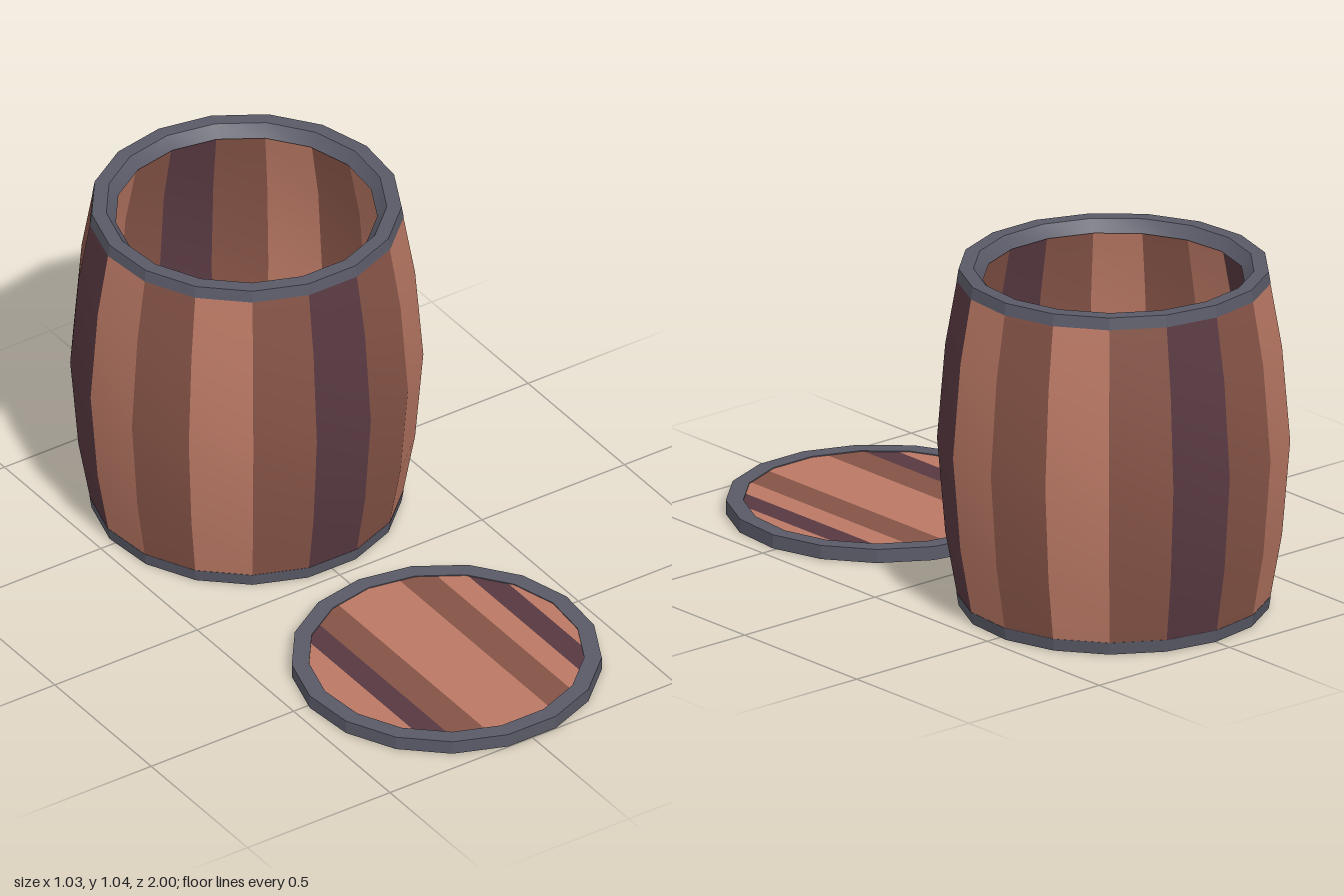
import * as THREE from 'three';
import { toCreasedNormals } from 'three/addons/utils/BufferGeometryUtils.js';

const SIDES = 17;
const STEP = (Math.PI * 2) / SIDES;

function material(name, color) {
  const m = new THREE.MeshStandardMaterial({ color });
  m.name = name;
  return m;
}

// Sweep a closed [radius, height] profile over a number of sides; side 0 faces +z
function sweep(profile, first, count) {
  const points = [...profile, profile[0]].map(([r, y]) => new THREE.Vector2(r, y));
  const geo = new THREE.LatheGeometry(points, count, (first - 0.5) * STEP, count * STEP);
  return toCreasedNormals(geo, 0.3);
}

// Cut a convex outline, keeping the points where sign * (x - limit) >= 0
function clip(points, limit, sign) {
  const out = [];
  points.forEach((a, i) => {
    const b = points[(i + 1) % points.length];
    const da = sign * (a.x - limit);
    const db = sign * (b.x - limit);
    if (da >= 0) out.push(a);
    if (da * db < 0) out.push(a.clone().lerp(b, da / (da - db)));
  });
  return out;
}

// Round panel of parallel planks, cut at the given x positions
function plankDisc(name, radius, y, depth, cuts, colours) {
  const group = new THREE.Group();
  group.name = name;
  const outline = Array.from({ length: SIDES }, (_, i) => {
    const a = (i - 0.5) * STEP;
    return new THREE.Vector2(radius * Math.sin(a), -radius * Math.cos(a));
  });
  const edges = [-1, ...cuts, 1];
  colours.forEach((mat, i) => {
    const part = clip(clip(outline, edges[i], 1), edges[i + 1], -1);
    if (part.length < 3) return;
    const geo = new THREE.ExtrudeGeometry(new THREE.Shape(part), { depth, bevelEnabled: false });
    geo.rotateX(-Math.PI / 2);
    const plank = new THREE.Mesh(geo, mat);
    plank.name = 'plank';
    plank.position.y = y;
    group.add(plank);
  });
  return group;
}

export function createModel() {
  const L = material('light wood', 0xbb7965);
  const M = material('medium wood', 0x855346);
  const D = material('dark wood', 0x583941);
  const metal = material('iron', 0x5a5a68);

  const model = new THREE.Group();
  model.name = 'barrelWithLid';

  const addHoop = (parent, name, profile) => {
    const hoop = new THREE.Mesh(sweep(profile, 0, SIDES), metal);
    hoop.name = name;
    parent.add(hoop);
  };

  // Barrel body: one bulging stave per side
  const barrel = new THREE.Group();
  barrel.name = 'barrel';
  barrel.position.z = -0.485;
  model.add(barrel);

  const staveProfile = [
    [0.458, 0.038], [0.492, 0.23], [0.516, 0.52], [0.492, 0.81], [0.458, 1.005],
    [0.388, 1.005], [0.427, 0.81], [0.45, 0.52], [0.427, 0.23], [0.388, 0.038],
  ];
  [D, M, L, D, L, M, L, M, D, M, L, M, D, L, M, L, M].forEach((mat, i) => {
    const stave = new THREE.Mesh(sweep(staveProfile, i, 1), mat);
    stave.name = 'stave';
    barrel.add(stave);
  });

  // Iron hoops at both ends
  addHoop(barrel, 'bottomHoop', [[0.453, 0], [0.459, 0.038], [0.382, 0.038], [0.4, 0]]);
  addHoop(barrel, 'topHoop', [[0.459, 1.004], [0.453, 1.04], [0.41, 1.04], [0.382, 1.004]]);

  // Barrel floor
  barrel.add(plankDisc('floor', 0.402, 0.003, 0.033,
    [-0.36, -0.285, -0.205, -0.105, 0.125, 0.235, 0.305, 0.385],
    [L, D, L, M, L, M, L, D, L]));

  // Lid lying on the ground in front
  const lid = new THREE.Group();
  lid.name = 'lid';
  lid.position.z = 0.553;
  model.add(lid);
  addHoop(lid, 'lidHoop', [[0.453, 0], [0.453, 0.042], [0.402, 0.042], [0.402, 0]]);
  lid.add(plankDisc('lidPanel', 0.403, 0.003, 0.036,
    [-0.296, -0.222, -0.12, 0.097, 0.2, 0.275, 0.35],
    [L, D, M, L, M, L, D, L]));

  return model;
}
